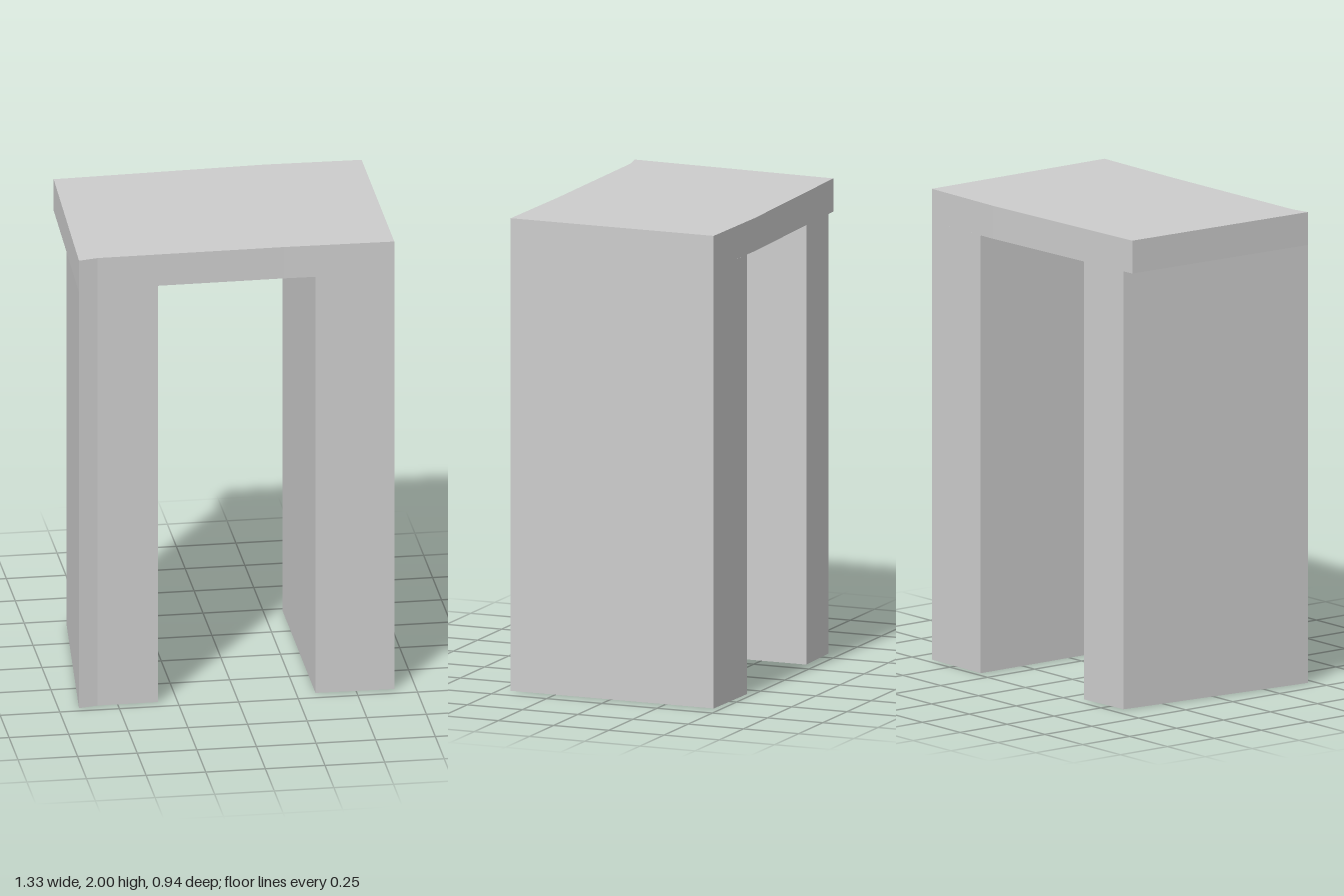
import * as THREE from 'three';

const material = new THREE.MeshStandardMaterial({ color: 0xcccccc, flatShading: true });

// Upright prism from a plan outline of [x, z] corners, between two heights
function prism(name, outline, bottom, top) {
  const shape = new THREE.Shape(outline.map(([x, z]) => new THREE.Vector2(x, -z)));
  const geometry = new THREE.ExtrudeGeometry(shape, { depth: top - bottom, bevelEnabled: false });
  geometry.rotateX(-Math.PI / 2).translate(0, bottom, 0);
  const mesh = new THREE.Mesh(geometry, material);
  mesh.name = name;
  return mesh;
}

export function createModel() {
  const group = new THREE.Group();
  group.name = 'archway';
  const springing = 1.86;

  // Lintel slab with slightly irregular edges
  group.add(prism('lintel', [
    [-0.665, 0.47], [-0.585, 0.452], [0.2, 0.445], [0.66, 0.452],
    [0.66, -0.467], [0.25, -0.474], [-0.635, -0.442],
  ], springing, 2));

  // Right pier, its outer wall tapering inward under the slab towards the back
  group.add(prism('rightPier', [
    [-0.665, 0.47], [-0.585, 0.452], [-0.33, 0.45],
    [-0.33, -0.453], [-0.58, -0.444],
  ], 0, springing));

  // Left pier
  group.add(prism('leftPier', [
    [0.33, 0.447], [0.66, 0.452], [0.66, -0.467], [0.33, -0.473],
  ], 0, springing));

  return group;
}
